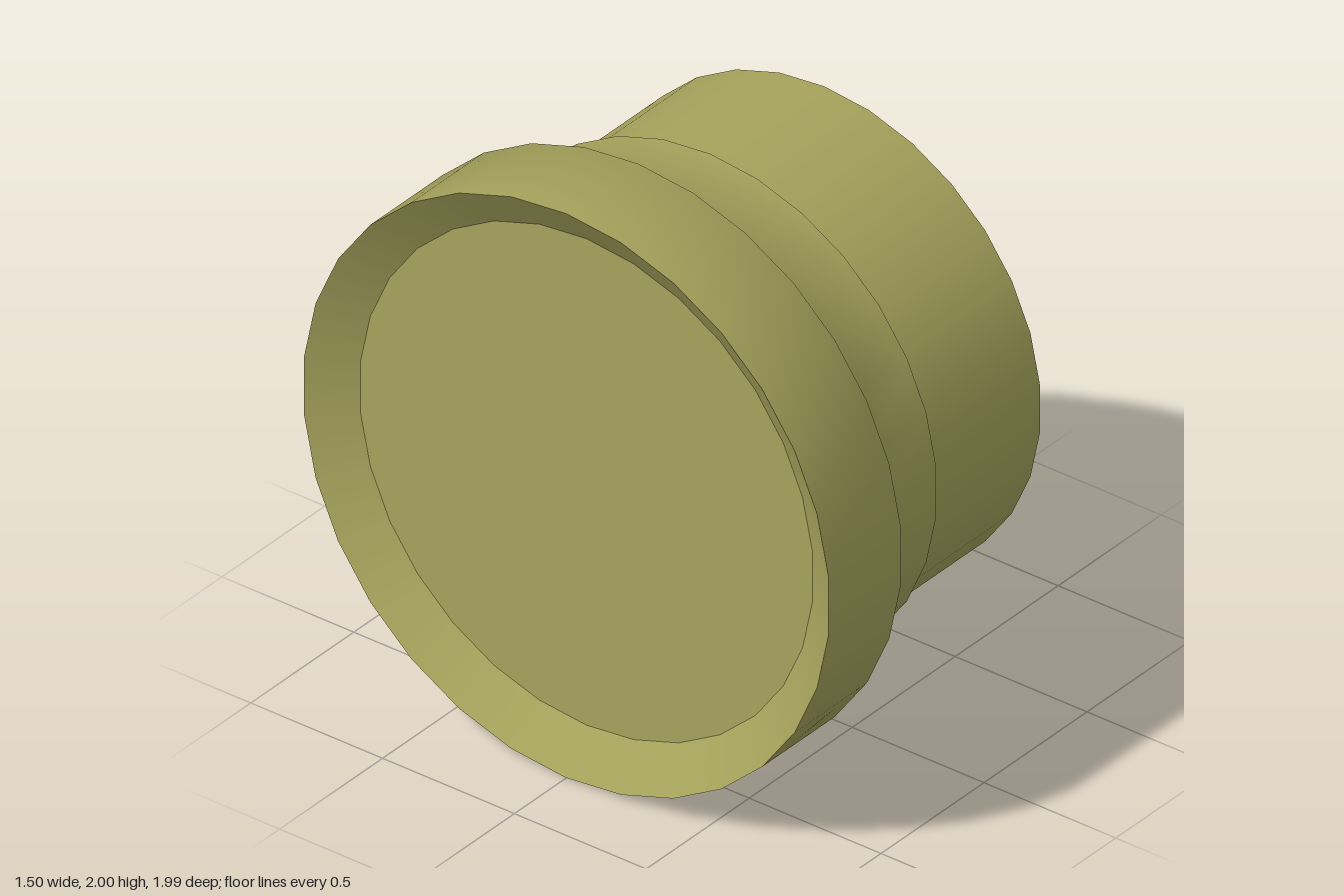
import * as THREE from 'three';

const SIDES = 30;

export function createModel() {
  const group = new THREE.Group();
  group.name = 'steppedCollar';
  const material = new THREE.MeshStandardMaterial({ color: 0xa6a35c });

  // Each section is a list of [x, radius]; it is smooth inside and creased at its ends.
  const addSection = (name, points) => {
    const profile = points.map(([x, r]) => new THREE.Vector2(r, x));
    const geometry = new THREE.LatheGeometry(profile, SIDES, Math.PI / 2);
    geometry.rotateZ(-Math.PI / 2); // lathe axis along +x
    const mesh = new THREE.Mesh(geometry, material);
    mesh.name = name;
    mesh.position.y = 1;
    group.add(mesh);
  };

  // Dished back end
  addSection('backFloor', [[-0.65, 0], [-0.65, 0.862]]);
  addSection('backDishWall', [[-0.65, 0.862], [-0.748, 1]]);

  // Wide flange flowing through a chamfer into the neck
  addSection('flange', [[-0.748, 1], [-0.397, 1], [-0.304, 0.862], [-0.05, 0.862]]);
  addSection('neckStep', [[-0.05, 0.862], [-0.05, 0.822]]);

  // Barrel and its shoulder
  addSection('barrel', [[-0.05, 0.822], [0.505, 0.822]]);
  addSection('shoulder', [[0.505, 0.822], [0.505, 0.61]]);

  // Tapered nozzle with a blind tapered bore
  addSection('nozzle', [[0.505, 0.61], [0.747, 0.536]]);
  addSection('nozzleLip', [[0.747, 0.536], [0.747, 0.476]]);
  addSection('bore', [[0.747, 0.476], [0.345, 0.386]]);
  addSection('boreFloor', [[0.345, 0.386], [0.345, 0]]);

  return group;
}
